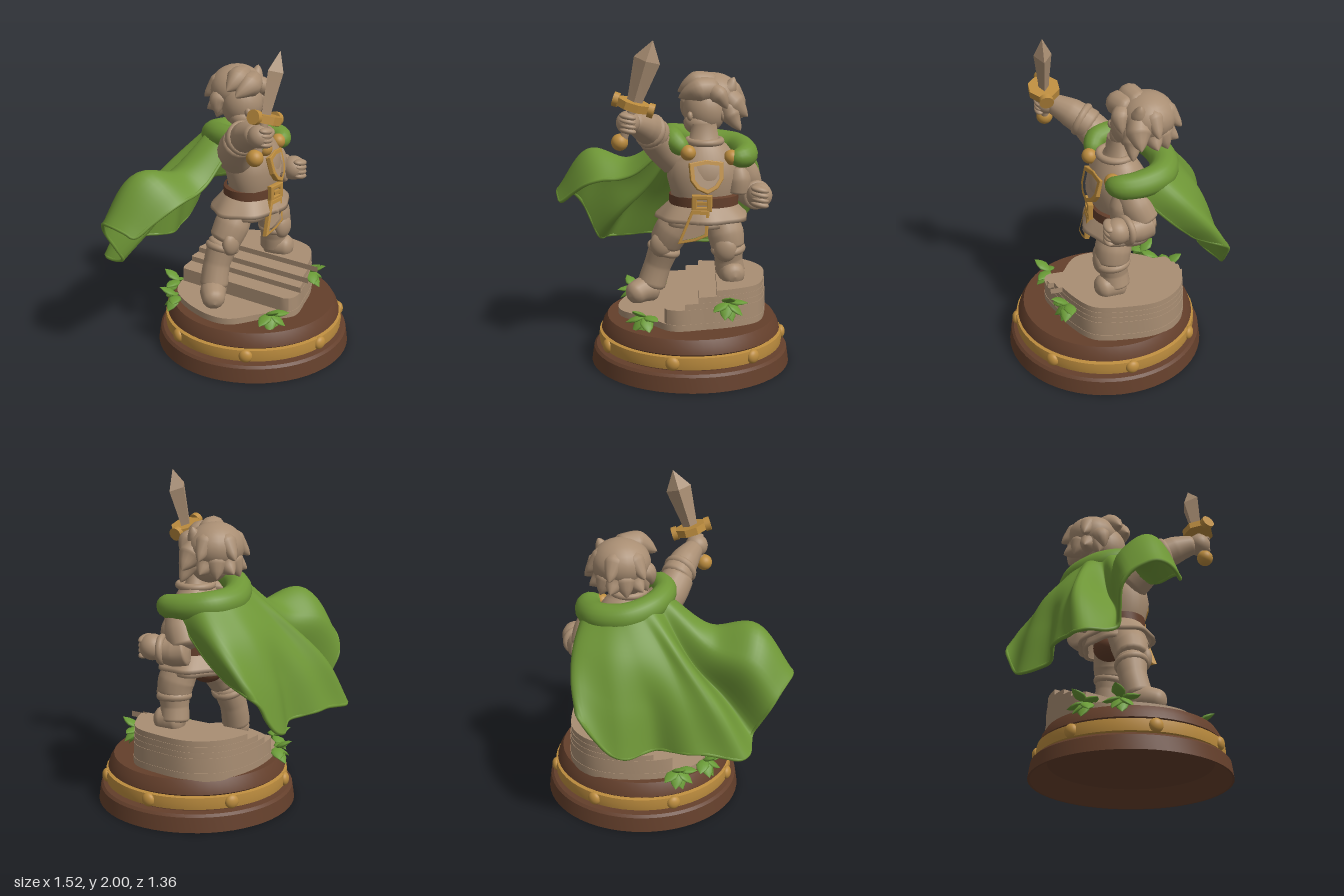
import * as THREE from 'three';
import { mergeVertices, toCreasedNormals } from 'three/addons/utils/BufferGeometryUtils.js';

const mat = (name, color, side = THREE.FrontSide) =>
  Object.assign(new THREE.MeshStandardMaterial({ color, side }), { name });
const stone = mat('stone', 0xa98e73, THREE.DoubleSide);
const green = mat('cape green', 0x6e9636, THREE.DoubleSide);
const leafGreen = mat('leaf green', 0x699a36);
const gold = mat('gold', 0xbc8c3e);
const brown = mat('brown', 0x643f2b);

const V = (p) => new THREE.Vector3(...p);

function add(parent, name, geo, material, pos = [0, 0, 0], rot = [0, 0, 0], scale = [1, 1, 1]) {
  const m = new THREE.Mesh(geo, material);
  m.name = name;
  m.position.set(...pos);
  m.rotation.set(...rot);
  m.scale.set(...scale);
  parent.add(m);
  return m;
}
const ball = (parent, name, material, pos, r, rot) =>
  add(parent, name, new THREE.SphereGeometry(1, 24, 16), material, pos, rot, typeof r === 'number' ? [r, r, r] : r);
const lathe = (pts, seg = 40) => new THREE.LatheGeometry(pts.map((p) => new THREE.Vector2(...p)), seg);

// Round-ended tube through points, with a radius per point
function limb(pts, radii, round = 0.12, seg = 28, sides = 16) {
  const curve = new THREE.CatmullRomCurve3(pts.map(V));
  const geo = new THREE.TubeGeometry(curve, seg, 1, sides);
  const pos = geo.attributes.position;
  const v = new THREE.Vector3();
  for (let i = 0; i <= seg; i++) {
    const c = curve.getPointAt(i / seg);
    const t = curve.getUtoTmapping(i / seg) * (radii.length - 1);
    const k = Math.min(Math.floor(t), radii.length - 2);
    const end = Math.min(1, Math.min(i, seg - i) / seg / round);
    const r = THREE.MathUtils.lerp(radii[k], radii[k + 1], t - k) * Math.sqrt(1 - (1 - end) ** 2) + 0.0005;
    for (let j = 0; j <= sides; j++) {
      const n = i * (sides + 1) + j;
      v.fromBufferAttribute(pos, n).sub(c).multiplyScalar(r).add(c);
      pos.setXYZ(n, v.x, v.y, v.z);
    }
  }
  geo.deleteAttribute('normal');
  geo.deleteAttribute('uv');
  const out = mergeVertices(geo, 1e-5);
  out.computeVertexNormals();
  return out;
}

function polygon(pts) {
  return new THREE.Shape(pts.map((p) => new THREE.Vector2(...p)));
}
// Gold frame around an outline, with an inset stone panel
function framedPlate(parent, name, pts, inset, pos, rot) {
  const cx = pts.reduce((s, p) => s + p[0], 0) / pts.length;
  const cy = pts.reduce((s, p) => s + p[1], 0) / pts.length;
  const inner = pts.map(([x, y]) => [cx + (x - cx) * inset, cy + (y - cy) * inset]);
  const frame = polygon(pts);
  frame.holes.push(polygon(inner));
  const bevel = { bevelThickness: 0.006, bevelSize: 0.005, bevelSegments: 2 };
  add(parent, name + 'Frame', new THREE.ExtrudeGeometry(frame, { depth: 0.022, ...bevel }), gold, pos, rot);
  add(parent, name + 'Panel', new THREE.ExtrudeGeometry(polygon(inner), { depth: 0.012, bevelEnabled: false }), stone, pos, rot);
}

function buildBase(g) {
  const c = [0.137, 0, 0.055];
  const body = lathe([[0, 0.11], [0.5, 0.1], [0.6, 0], [0.613, 0], [0.6, 0.09], [0.585, 0.105], [0.54, 0.11],
    [0.54, 0.2], [0.552, 0.21], [0.54, 0.25], [0.515, 0.29], [0, 0.29]], 56);
  add(g, 'woodenBase', toCreasedNormals(body, 0.5), brown, c);
  add(g, 'goldBand', toCreasedNormals(lathe([[0.53, 0.118], [0.564, 0.124], [0.568, 0.16], [0.564, 0.196], [0.53, 0.202]], 56), 0.6), gold, c);
  for (let i = 0; i < 7; i++) {
    const a = -0.1 + (i * Math.PI * 2) / 7;
    ball(g, 'bandStud', gold, [c[0] + 0.564 * Math.sin(a), 0.16, c[2] + 0.564 * Math.cos(a)], [0.042, 0.042, 0.028], [0, a, 0]);
  }
  // Stepped rock: one outline cut back further on every tier
  const outline = new THREE.CatmullRomCurve3([[-0.31, 0], [-0.28, 0.18], [-0.1, 0.3], [0.06, 0.43], [0.25, 0.38], [0.42, 0.31],
    [0.56, 0.2], [0.595, 0], [0.57, -0.22], [0.42, -0.38], [0.1, -0.42], [-0.18, -0.32]].map(([x, z]) => new THREE.Vector3(x, 0, z)), true).getPoints(60).slice(0, -1);
  let floor = 0.28;
  [[-1, 0.33], [-0.02, 0.42], [0.1, 0.455], [0.18, 0.49], [0.29, 0.525]].forEach(([cut, top], i) => {
    const s = 1 - i * 0.006;
    const pts = outline.map((p) => [Math.max(0.15 + (p.x - 0.15) * s, cut + 0.08 * p.z), -p.z * s]);
    const geo = new THREE.ExtrudeGeometry(polygon(pts), { depth: top - floor, bevelEnabled: false });
    add(g, 'rockTier', toCreasedNormals(geo.rotateX(-Math.PI / 2), 0.6), stone, [0, floor, 0]);
    floor = top;
  });
  // Leaf clusters fan outward from the rock
  const leaf = lathe([[0, 0], [0.028, 0.022], [0.042, 0.055], [0.03, 0.09], [0, 0.125]], 12).scale(1, 1, 0.35);
  [[0.38, 0.45, 0.32, 0.4], [-0.11, 0.36, 0.37, -0.4], [-0.08, 0.34, -0.39, 3.5], [-0.25, 0.34, -0.26, 4.0]].forEach(([x, y, z, a]) => {
    const cluster = new THREE.Group();
    cluster.name = 'leafCluster';
    cluster.position.set(x, y, z);
    cluster.rotation.y = a;
    [[-1.1, 1.9], [-0.5, 2.35], [0.2, 2.6], [0.8, 2.2], [1.2, 1.6], [-0.2, 1.1]].forEach(([fan, tilt]) => {
      add(cluster, 'leaf', leaf, leafGreen).rotation.set(tilt, fan, 0, 'YXZ');
    });
    g.add(cluster);
  });
}

function buildBody(g) {
  const torso = new THREE.Group();
  torso.name = 'torso';
  torso.position.set(0.21, 0, -0.01);
  torso.rotation.y = 0.3;
  g.add(torso);
  add(torso, 'tunic', lathe([[0, 0.86], [0.16, 0.9], [0.195, 1], [0.205, 1.06], [0.228, 1.15], [0.21, 1.25], [0.14, 1.34], [0.09, 1.38], [0.075, 1.47]]), stone, [0, 0, 0], [0, 0, 0], [1, 1, 0.74]);
  add(torso, 'neckline', new THREE.TorusGeometry(0.1, 0.022, 12, 32), stone, [0, 1.365, 0.01], [Math.PI / 2, 0, 0]);
  framedPlate(torso, 'chestShield', [[-0.1, 0.08], [0, 0.095], [0.1, 0.08], [0.095, -0.02], [0.06, -0.07], [0, -0.1], [-0.06, -0.07], [-0.095, -0.02]], 0.78, [-0.02, 1.17, 0.15], [-0.25, 0, 0]);
  for (const p of [[-0.125, 1.315, 0.12], [0.145, 1.275, 0.11]]) ball(torso, 'capeClasp', gold, p, 0.047);

  // Flared skirt in two pleated layers
  [[0.24, 0.85, 0.19], [0.285, 0.885, 0.2]].forEach(([r, y, top]) => {
    const geo = lathe([[r - 0.03, y + 0.005], [r, y], [r - 0.005, y + 0.025], [top, 0.99]], 72);
    const p = geo.attributes.position;
    for (let i = 0; i < p.count; i++) {
      const k = 1 + 0.04 * Math.sin(Math.atan2(p.getX(i), p.getZ(i)) * 7) * (0.99 - p.getY(i)) / 0.12;
      p.setX(i, p.getX(i) * k);
      p.setZ(i, p.getZ(i) * k);
    }
    geo.computeVertexNormals();
    add(g, 'skirt', geo, stone, [0.2, 0, -0.02], [0, 0, 0], [1, 1, 0.78]);
  });
  ball(g, 'trouserSeat', brown, [0.19, 0.85, -0.07], [0.11, 0.08, 0.1]);
  add(g, 'belt', toCreasedNormals(lathe([[0.19, 0.972], [0.213, 0.978], [0.213, 1.037], [0.19, 1.045]]), 0.5), brown, [0.21, 0, -0.01], [0, 0, 0], [1, 1, 0.78]);
  framedPlate(g, 'buckle', [[-0.056, -0.045], [0.056, -0.045], [0.056, 0.045], [-0.056, 0.045]], 0.62, [0.213, 1.012, 0.15]);
  add(g, 'bucklePin', new THREE.BoxGeometry(0.06, 0.02, 0.02), gold, [0.213, 1.012, 0.17]);
  framedPlate(g, 'frontFlap', [[-0.06, 0.1], [0.04, 0.1], [0.03, -0.05], [-0.04, -0.08], [-0.14, -0.1]], 0.8, [0.215, 0.865, 0.165], [-0.12, 0, 0]);

  // Legs, boots and cuffs
  const legs = [
    { thigh: [[0.3, 0.93, 0], [0.35, 0.8, 0.04], [0.365, 0.7, 0.05]], shin: [[0.365, 0.74, 0.05], [0.37, 0.64, 0.04], [0.385, 0.54, 0.03]], toe: [[0.37, 0.56, -0.03], [0.39, 0.56, 0.07], [0.42, 0.555, 0.16]] },
    { thigh: [[0.12, 0.93, -0.04], [0.02, 0.8, -0.03], [-0.04, 0.69, -0.05]], shin: [[-0.02, 0.72, -0.05], [-0.08, 0.56, -0.07], [-0.13, 0.4, -0.06]], toe: [[-0.08, 0.395, -0.09], [-0.17, 0.4, -0.03], [-0.25, 0.37, 0.05]] },
  ];
  for (const { thigh, shin, toe } of legs) {
    add(g, 'trouserLeg', limb(thigh, [0.1, 0.112, 0.1]), stone);
    add(g, 'boot', limb(shin, [0.1, 0.085, 0.09]), stone);
    add(g, 'foot', limb(toe, [0.085, 0.08, 0.065], 0.25), stone);
    const dir = V(shin[2]).sub(V(shin[0])).normalize();
    const cuff = add(g, 'bootCuff', new THREE.TorusGeometry(0.082, 0.026, 12, 28), stone, shin[0].map((v, i) => v + (shin[1][i] - v) * 0.35));
    cuff.quaternion.setFromUnitVectors(new THREE.Vector3(0, 0, 1), dir);
    ball(g, 'kneePad', stone, [thigh[2][0] - 0.01, thigh[2][1] + 0.02, thigh[2][2] + 0.07], [0.07, 0.08, 0.045]);
  }
}

function hand(g, pos, s) {
  ball(g, 'palm', stone, pos, 0.07 * s);
  for (let i = 0; i < 4; i++) {
    ball(g, 'finger', stone, [pos[0] + 0.004, pos[1] + (i - 1.5) * 0.027 * s, pos[2] + 0.042 * s], [0.05 * s, 0.02 * s, 0.032 * s], [0, 0, -0.2]);
  }
}

function buildArms(g) {
  // Raised sword arm
  add(g, 'rightSleeve', limb([[0.06, 1.24, -0.02], [-0.03, 1.33, 0.04], [-0.1, 1.43, 0.13]], [0.12, 0.11, 0.095]), stone);
  add(g, 'rightForearm', limb([[-0.06, 1.4, 0.08], [-0.13, 1.48, 0.21], [-0.2, 1.53, 0.33]], [0.1, 0.088, 0.055]), stone);
  const cuff = add(g, 'rightCuff', new THREE.TorusGeometry(0.08, 0.026, 12, 28), stone, [-0.1, 1.445, 0.15]);
  cuff.quaternion.setFromUnitVectors(new THREE.Vector3(0, 0, 1), new THREE.Vector3(-0.45, 0.4, 0.8).normalize());
  hand(g, [-0.205, 1.525, 0.35], 1);
  // Bent arm with a closed fist
  add(g, 'leftSleeve', limb([[0.38, 1.24, -0.04], [0.45, 1.14, -0.08], [0.48, 1.04, -0.13]], [0.1, 0.1, 0.09]), stone);
  add(g, 'leftForearm', limb([[0.47, 1.04, -0.15], [0.51, 1.025, -0.06], [0.55, 1.04, 0.04]], [0.09, 0.085, 0.06]), stone);
  add(g, 'leftShoulderGuard', limb([[0.41, 1.2, -0.02], [0.425, 1.13, 0], [0.42, 1.04, 0.0]], [0.065, 0.075, 0.07]), stone);
  add(g, 'leftCuff', new THREE.TorusGeometry(0.07, 0.022, 12, 28), stone, [0.535, 1.035, 0], [0, 0.4, 0]);
  hand(g, [0.553, 1.045, 0.055], 1.12);

  // Sword, built upright around its guard and then tilted
  const sword = new THREE.Group();
  sword.name = 'sword';
  sword.position.set(-0.17, 1.63, 0.365);
  sword.rotation.set(0.04, 0, -0.3);
  g.add(sword);
  const blade = lathe([[0.045, 0], [0.048, 0.05], [0.078, 0.27], [0, 0.39]], 4);
  add(sword, 'blade', toCreasedNormals(blade, 0.2), stone, [0, 0, 0], [0, 0, 0], [1, 1, 0.68]);
  const guard = new THREE.CylinderGeometry(0.1, 0.1, 0.046, 8);
  add(sword, 'guard', toCreasedNormals(guard, 0.5), gold, [0, 0, 0], [0, Math.PI / 8, 0], [1, 1, 0.95]);
  for (const s of [-1, 1]) add(sword, 'guardEnd', new THREE.CylinderGeometry(0.043, 0.043, 0.034, 16), gold, [s * 0.106, 0, 0], [0, 0, Math.PI / 2]);
  add(sword, 'grip', new THREE.CylinderGeometry(0.025, 0.025, 0.24, 16), stone, [0, -0.11, 0]);
  ball(sword, 'pommel', gold, [-0.015, -0.235, 0], 0.05);
}

function buildHead(g) {
  ball(g, 'head', stone, [0.205, 1.54, -0.1], [0.132, 0.15, 0.13]);
  ball(g, 'jaw', stone, [0.18, 1.465, -0.06], [0.1, 0.075, 0.09]);
  ball(g, 'nose', stone, [0.125, 1.515, 0.01], [0.018, 0.028, 0.022]);
  ball(g, 'ear', stone, [0.32, 1.52, -0.06], [0.025, 0.045, 0.035]);
  ball(g, 'hairCap', stone, [0.25, 1.615, -0.175], [0.175, 0.145, 0.165]);
  // Locks swept from the crown to pointed tips
  const lock = (pts, r) => add(g, 'hairLock', limb(pts, [r * 0.9, r, 0.012], 0.2, 20, 12), stone);
  lock([[0.29, 1.67, -0.08], [0.17, 1.67, -0.02], [0.05, 1.62, -0.03]], 0.075);
  lock([[0.28, 1.69, -0.14], [0.15, 1.7, -0.09], [0.04, 1.65, -0.09]], 0.075);
  lock([[0.23, 1.67, -0.05], [0.3, 1.64, -0.01], [0.35, 1.56, -0.01]], 0.055);
  lock([[0.32, 1.64, -0.12], [0.39, 1.57, -0.1], [0.47, 1.5, -0.1]], 0.075);
  lock([[0.34, 1.6, -0.08], [0.37, 1.51, -0.07], [0.43, 1.42, -0.06]], 0.06);
  lock([[0.3, 1.66, -0.13], [0.35, 1.67, -0.11], [0.385, 1.74, -0.11]], 0.055);
  lock([[0.18, 1.6, -0.18], [0.1, 1.56, -0.2], [0.07, 1.48, -0.19]], 0.06);
  for (let i = 0; i < 6; i++) {
    const a = -1.3 + i * 0.54;
    const at = (r, y) => [0.25 + Math.sin(a) * r, y, -0.17 - Math.cos(a) * r];
    lock([at(0.05, 1.62), at(0.115, 1.53), at(0.16 + 0.03 * (i % 2), 1.45 + 0.03 * (i % 2))], 0.065);
    if (i % 2) lock([at(0.06, 1.68), at(0.12, 1.64), at(0.205, 1.56)], 0.065);
  }
}

function buildCape(g) {
  // Each column runs from the collar down to the hem; the flung side overhangs a deep fold
  const columns = [
    [[-0.01, 1.32, -0.02], [-0.25, 1.12, -0.04], [-0.48, 1.08, -0.05], [-0.71, 0.92, -0.18]],
    [[-0.02, 1.36, -0.1], [-0.28, 1.2, -0.18], [-0.54, 1.24, -0.25], [-0.75, 0.97, -0.32]],
    [[0, 1.38, -0.18], [-0.28, 1.13, -0.32], [-0.5, 1.08, -0.44], [-0.66, 0.89, -0.48]],
    [[0.04, 1.37, -0.22], [-0.16, 1.02, -0.3], [-0.35, 0.82, -0.36], [-0.52, 0.63, -0.46]],
    [[0.1, 1.37, -0.26], [-0.1, 1.12, -0.45], [-0.3, 0.87, -0.59], [-0.46, 0.58, -0.65]],
    [[0.17, 1.37, -0.28], [0, 1.12, -0.43], [-0.12, 0.86, -0.57], [-0.2, 0.61, -0.65]],
    [[0.25, 1.36, -0.29], [0.15, 1.1, -0.47], [0.08, 0.85, -0.53], [0.05, 0.59, -0.57]],
    [[0.35, 1.34, -0.26], [0.34, 1.12, -0.46], [0.3, 0.87, -0.57], [0.28, 0.58, -0.64]],
    [[0.45, 1.31, -0.2], [0.51, 1.15, -0.36], [0.52, 1, -0.49], [0.49, 0.82, -0.61]],
    [[0.47, 1.26, -0.06], [0.49, 1.13, -0.19], [0.5, 1.02, -0.31], [0.49, 0.92, -0.43]],
  ].map((c) => new THREE.CatmullRomCurve3(c.map(V)));
  const outer = new THREE.PlaneGeometry(1, 1, 72, 28);
  const p = outer.attributes.position;
  for (let j = 0; j <= 28; j++) {
    const row = new THREE.CatmullRomCurve3(columns.map((c) => c.getPoint(j / 28)));
    for (let i = 0; i <= 72; i++) {
      const q = row.getPoint(i / 72);
      p.setXYZ(j * 73 + i, q.x, q.y, q.z + 0.012 * (j / 28) * Math.sin((i / 72) * 40));
    }
  }
  outer.computeVertexNormals();
  // Lining set behind the cloth, joined by a rolled border
  const lining = outer.clone();
  const n = outer.attributes.normal;
  for (let i = 0; i < p.count; i++) {
    lining.attributes.position.setXYZ(i, p.getX(i) - n.getX(i) * 0.018, p.getY(i) - n.getY(i) * 0.018, p.getZ(i) - n.getZ(i) * 0.018);
  }
  add(g, 'cape', outer, green);
  add(g, 'capeLining', lining, green);
  const border = [];
  const edge = (i) => border.push([p.getX(i) - n.getX(i) * 0.009, p.getY(i) - n.getY(i) * 0.009, p.getZ(i) - n.getZ(i) * 0.009]);
  for (let j = 0; j < 28; j += 4) edge(j * 73);
  for (let i = 0; i <= 72; i += 3) edge(28 * 73 + i);
  for (let j = 24; j >= 0; j -= 4) edge(j * 73 + 72);
  add(g, 'capeBorder', limb(border, [0.011, 0.011], 0.005, 160, 8), green);
  // Rolled collar, high by the raised arm and low over the other shoulder
  add(g, 'capeCollar', limb([[0.12, 1.31, 0.13], [0.03, 1.38, 0.08], [-0.005, 1.385, -0.07], [0.07, 1.35, -0.21], [0.23, 1.31, -0.28],
    [0.39, 1.295, -0.23], [0.455, 1.28, -0.09], [0.45, 1.275, 0.02], [0.37, 1.265, 0.08]], [0.045, 0.07, 0.07, 0.08, 0.085, 0.085, 0.08, 0.07, 0.04], 0.05, 60), green);
}

export function createModel() {
  const g = new THREE.Group();
  g.name = 'swordsmanStatue';
  [buildBase, buildBody, buildArms, buildHead, buildCape].forEach((build) => build(g));
  return g;
}
